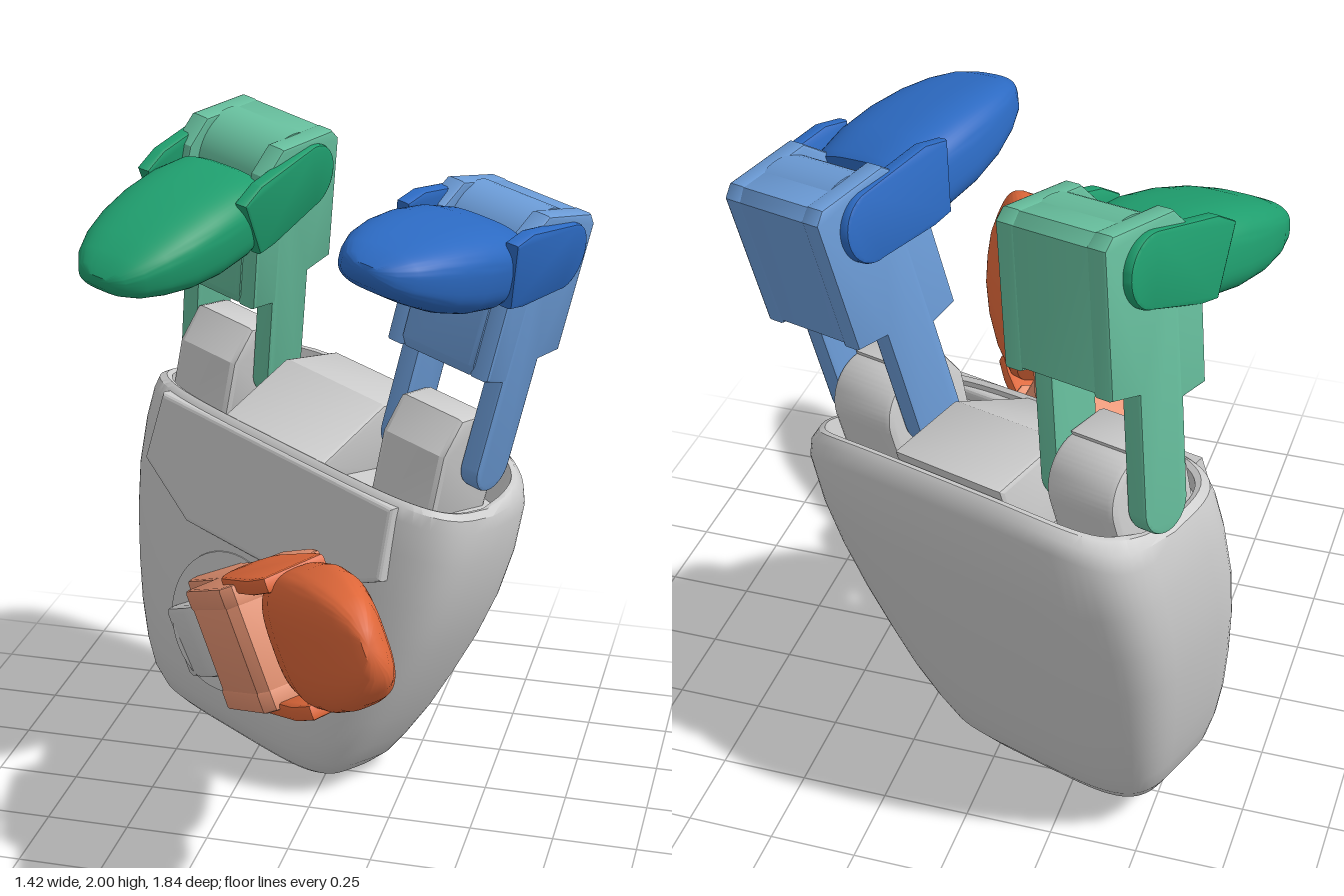
import * as THREE from 'three';
import { toCreasedNormals } from 'three/addons/utils/BufferGeometryUtils.js';

const V = (x, y, z) => new THREE.Vector3(x, y, z);
const GREY = 0xcccccc;

function add(parent, name, geo, color) {
  const mesh = new THREE.Mesh(geo, new THREE.MeshStandardMaterial({ color }));
  mesh.name = name;
  parent.add(mesh);
  return mesh;
}

// Skin over rounded-rectangle rings: [y, halfWidth, zFront, zBack]; warp may move each point.
function loft(rings, power, crease, warp = p => p) {
  const N = 64, pos = [], idx = [];
  rings.forEach(([y, w, zf, zb], i) => {
    for (let j = 0; j < N; j++) {
      const t = (j / N) * Math.PI * 2, c = Math.cos(t), s = Math.sin(t);
      const e = k => Math.sign(k) * Math.abs(k) ** (2 / power);
      const p = warp(V(e(c) * w, y, (zf + zb) / 2 + e(s) * (zf - zb) / 2), i);
      pos.push(p.x, p.y, p.z);
      if (i < rings.length - 1) {
        const a = i * N + j, b = i * N + (j + 1) % N;
        idx.push(a, a + N, b, b, a + N, b + N);
      }
    }
  });
  const g = new THREE.BufferGeometry();
  g.setAttribute('position', new THREE.Float32BufferAttribute(pos, 3));
  g.setIndex(idx);
  return toCreasedNormals(g, crease);
}

// Side profile in (z, y), given thickness along x, softly bevelled.
function slab(shape, width, x = 0, bevel = 0.01) {
  const g = new THREE.ExtrudeGeometry(shape, {
    depth: width - 2 * bevel, bevelThickness: bevel, bevelSize: bevel,
    bevelOffset: -bevel, bevelSegments: 2, curveSegments: 16,
  });
  g.translate(0, 0, -width / 2 + bevel).rotateY(-Math.PI / 2).translate(x, 0, 0);
  return toCreasedNormals(g, 0.5);
}
const poly = pts => new THREE.Shape(pts.map(([a, b]) => new THREE.Vector2(a, b)));

// Side plate: round-ended rod that widens into the finger box
function plateShape() {
  const s = new THREE.Shape();
  s.absarc(0, 0, 0.08, Math.PI, Math.PI * 2);
  [[0.08, 0.27], [0.165, 0.28], [0.165, 0.58], [0.14, 0.7], [0.07, 0.77],
    [-0.15, 0.77], [-0.18, 0.74], [-0.18, 0.35], [-0.08, 0.33]].forEach(p => s.lineTo(...p));
  return s;
}

// Link plate of the fingertip: rounded around the joint
function linkShape() {
  const s = new THREE.Shape();
  s.absarc(0, 0, 0.1, Math.PI, Math.PI * 2);
  [[0.13, 0.2], [0.13, 0.27], [-0.06, 0.33], [-0.09, 0.25]].forEach(p => s.lineTo(...p));
  return s;
}

// Knuckle: block inside the finger fork, rounded at the back
function knuckleShape() {
  const s = poly([[-0.13, -0.2], [0.15, -0.2], [0.17, 0.02], [0.12, 0.13], [0, 0.14]]);
  s.absarc(0, 0, 0.13, Math.PI / 2, Math.PI);
  return s;
}

// Origin on the base joint; y along the finger, z towards its pad
function makeFinger(name, light, dark, flex, skew) {
  const finger = new THREE.Group();
  finger.name = name;
  for (const s of [-1, 1]) add(finger, 'sidePlate', slab(plateShape(), 0.065, s * 0.152), light);
  add(finger, 'fingerBox', slab(poly([[-0.178, 0.36], [0.1, 0.36], [0.1, 0.55], [-0.03, 0.6],
    [-0.03, 0.768], [-0.15, 0.768], [-0.178, 0.738]]), 0.3), light);
  add(finger, 'fingerPad', slab(poly([[0.0, 0.28], [0.16, 0.28], [0.175, 0.31], [0.175, 0.52],
    [0.15, 0.56], [0.0, 0.56]]), 0.27, 0, 0.02), light);
  const barrel = new THREE.CylinderGeometry(0.135, 0.135, 0.26, 40).rotateZ(Math.PI / 2);
  add(finger, 'jointBarrel', barrel.translate(0, 0.64, -0.03), light);

  const tip = new THREE.Group();
  tip.name = 'fingertip';
  tip.position.set(0, 0.65, -0.04);
  tip.rotation.set(flex, 0, -skew);
  finger.add(tip);
  for (const s of [-1, 1]) add(tip, 'linkPlate', slab(linkShape(), 0.045, s * 0.182), dark);
  add(tip, 'tipBody', loft([
    [0.17, 0, 0.04, 0.04], [0.17, 0.165, 0.13, -0.06], [0.19, 0.18, 0.15, -0.07],
    [0.3, 0.197, 0.165, -0.08], [0.42, 0.196, 0.165, -0.077], [0.53, 0.183, 0.152, -0.063],
    [0.62, 0.16, 0.13, -0.043], [0.69, 0.128, 0.108, -0.02], [0.735, 0.09, 0.085, 0.005],
    [0.755, 0.045, 0.06, 0.025], [0.757, 0, 0.04, 0.04],
  ], 3, 0.6), dark);
  return finger;
}

export function createModel() {
  const model = new THREE.Group();
  model.name = 'robotHand';

  // Hand frame: x across the palm, y towards the fingers, z out of the palm
  const hand = new THREE.Group();
  hand.name = 'hand';
  const ux = V(0.887, -0.151, 0.435), uy = V(0.214, 0.972, -0.097), uz = V(-0.408, 0.179, 0.894);
  hand.quaternion.setFromRotationMatrix(new THREE.Matrix4().makeBasis(ux, uy, uz));
  hand.position.copy(ux).multiplyScalar(-0.385);
  model.add(hand);

  // Palm shell; the rim rises at the back and the top is a shallow tray
  const rise = p => {
    const back = THREE.MathUtils.smoothstep(-p.z, 0.2, 0.36);
    p.y += 0.14 * back * Math.max(0, 1 - (p.x / 0.64) ** 4);
    return p;
  };
  const rings = [
    [0.05, 0, -0.22, -0.22], [0.05, 0.33, -0.08, -0.38], [0.065, 0.36, -0.06, -0.41],
    [0.12, 0.405, -0.025, -0.44], [0.2, 0.445, 0.0, -0.457], [0.32, 0.495, 0.02, -0.475],
    [0.45, 0.538, 0.034, -0.485], [0.6, 0.582, 0.045, -0.495], [0.75, 0.612, 0.055, -0.503],
    [0.9, 0.623, 0.06, -0.508], [1.0, 0.617, 0.062, -0.503], [1.04, 0.607, 0.058, -0.485],
    [1.055, 0.585, 0.045, -0.46], [1.05, 0.57, 0.03, -0.445], [1.0, 0.56, 0.02, -0.435],
    [1.0, 0, -0.2, -0.2],
  ];
  add(hand, 'palm', loft(rings, 4.2, 0.7, (p, i) => (i > 9 && i < 14 ? rise(p) : p)), GREY);

  // Raised panel across the upper palm
  const panel = new THREE.ExtrudeGeometry(poly([[-0.46, 1.02], [-0.47, 0.82], [-0.27, 0.7],
    [0.22, 0.7], [0.45, 0.82], [0.43, 1.02]]), {
    depth: 0.045, bevelThickness: 0.012, bevelSize: 0.015, bevelSegments: 3,
  });
  add(hand, 'palmPanel', panel.translate(0, 0, 0.012), GREY);

  // Web between the two fingers, sloping down to the palm
  add(hand, 'fingerWeb', slab(poly([[-0.44, 0.95], [0.04, 0.95], [0.04, 1.05], [-0.2, 1.21],
    [-0.44, 1.21]]), 0.4, -0.045, 0.015), GREY);

  // Round thumb mount on the palm
  const mount = add(hand, 'thumbMount', new THREE.CylinderGeometry(0.22, 0.235, 0.06, 48), GREY);
  mount.rotation.x = Math.PI / 2;
  mount.position.set(-0.045, 0.44, 0.022);

  // Two fingers with their knuckles
  for (const [name, pivot, light, dark, lean, flex] of [
    ['greenFinger', [-0.44, 1.15, -0.23], 0x66bd9c, 0x1f9e6e, 0.26, 0.13],
    ['blueFinger', [0.365, 1.17, -0.24], 0x6b9bd6, 0x2c6ac2, 0, 0],
  ]) {
    const finger = makeFinger(name, light, dark, Math.PI / 2 + flex, 0.08);
    finger.position.set(...pivot);
    finger.rotation.x = lean;
    hand.add(finger);
    add(hand, 'knuckle', slab(knuckleShape(), 0.235, 0, 0.02), GREY).position.copy(finger.position);
  }

  // Thumb, almost straight, reaching out of the palm
  const thumb = makeFinger('thumb', 0xe89473, 0xe0683a, -0.04, -0.05);
  const basis = new THREE.Matrix4().makeBasis(
    V(-0.411, 0.883, -0.226), V(0.49, 0.42, 0.765), V(0.77, 0.204, -0.605));
  thumb.quaternion.setFromRotationMatrix(basis);
  thumb.position.set(-0.289, 0.482, -0.188);
  add(thumb, 'thumbKnuckle', slab(knuckleShape(), 0.235, 0, 0.02), GREY);
  model.add(thumb);

  return model;
}
